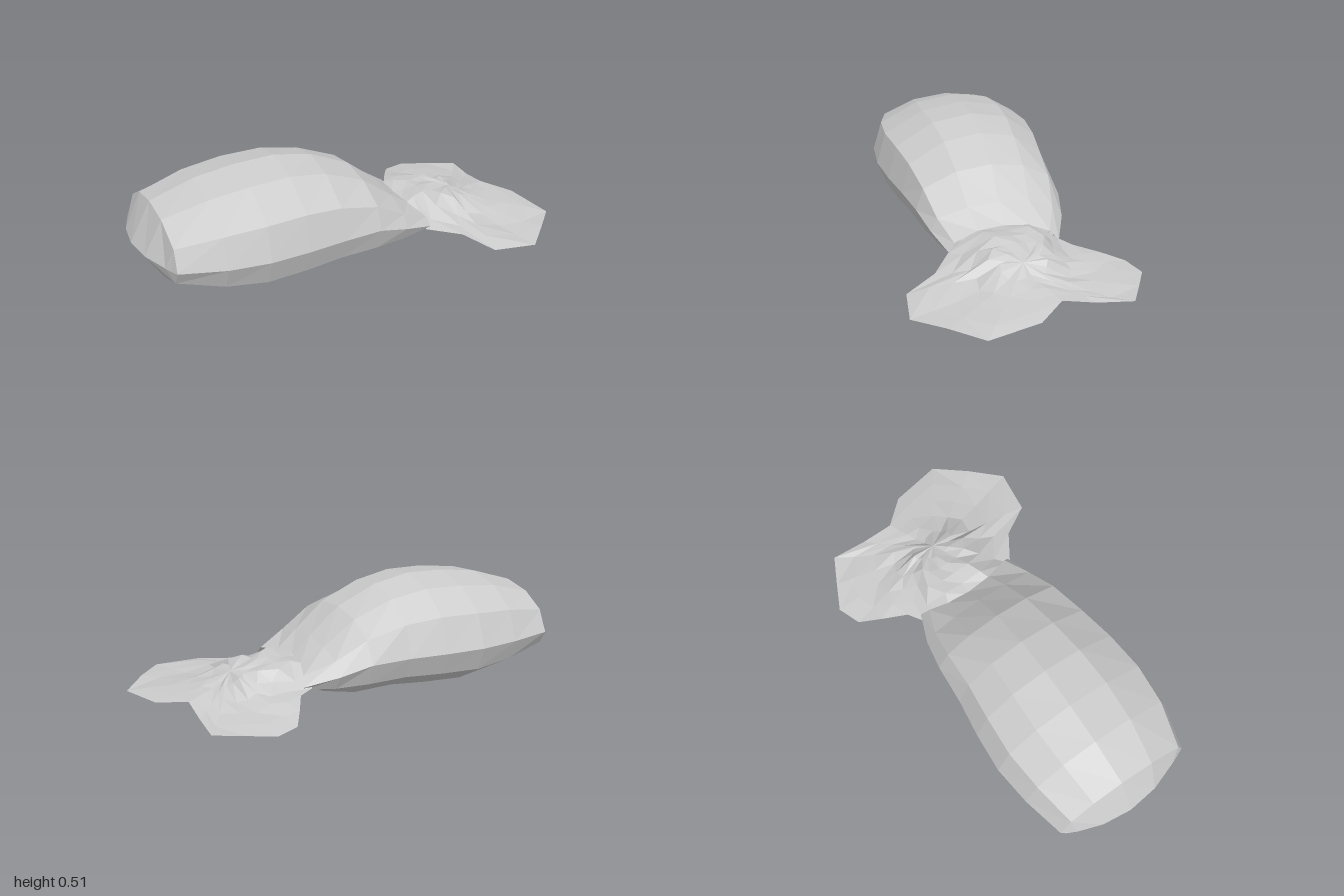
import * as THREE from 'three';

const material = new THREE.MeshStandardMaterial({
  color: 0xcccccc, flatShading: true, side: THREE.DoubleSide, roughness: 0.9,
});

function buildMesh(name, positions, indices) {
  const geometry = new THREE.BufferGeometry();
  geometry.setAttribute('position', new THREE.Float32BufferAttribute(positions, 3));
  geometry.setIndex(indices);
  geometry.computeVertexNormals();
  const mesh = new THREE.Mesh(geometry, material);
  mesh.name = name;
  return mesh;
}

// Piecewise-linear lookup in a list of [position, value]
function lookup(points, p) {
  if (p <= points[0][0]) return points[0][1];
  for (let i = 1; i < points.length; i++) {
    const [a, va] = points[i - 1], [b, vb] = points[i];
    if (p <= b) return va + (vb - va) * (p - a) / (b - a);
  }
  return points[points.length - 1][1];
}

// Slumped sack: twelve-sided sections lofted from the seamed end to the mouth
function createSack() {
  const profile = [[0, 1], [0.46, 0.9], [0.9, 0.54], [1, 0], [0.9, -0.53], [0.45, -0.97],
    [0, -1], [-0.47, -0.97], [-0.88, -0.53], [-1, 0], [-0.84, 0.54], [-0.47, 0.88]];
  // x, top y, bottom y, widest y, front z, back z
  const stations = [
    [-1, 0.215, 0.215, 0.215, 0.32, 0.30],
    [-0.905, 0.40, 0.10, 0.215, 0.36, 0.32],
    [-0.7, 0.47, 0.03, 0.215, 0.42, 0.365],
    [-0.51, 0.50, 0.0, 0.215, 0.435, 0.385],
    [-0.32, 0.51, 0.01, 0.215, 0.415, 0.37],
    [-0.14, 0.48, 0.025, 0.215, 0.385, 0.345],
    [0.05, 0.40, 0.02, 0.21, 0.355, 0.33],
    [0.2, 0.28, 0.05, 0.17, 0.32, 0.30],
    [0.29, 0.205, 0.09, 0.13, 0.27, 0.24],
  ];
  const positions = [], indices = [], n = profile.length;
  stations.forEach(([x, top, bottom, mid, front, back], i) => {
    for (const [u, v] of profile) {
      // The closed seam bows outwards, the mouth curves back in its middle
      const bow = i === 0 ? 0.08 * u * u : i === stations.length - 1 ? 0.06 * u * u : 0;
      positions.push(x + bow, mid + v * (v > 0 ? top - mid : mid - bottom), u * (u > 0 ? front : back));
    }
  });
  for (let i = 0; i < stations.length - 1; i++) {
    for (let j = 0; j < n; j++) {
      const k = (j + 1) % n, a = i * n + j, b = i * n + k;
      if (i > 0) indices.push(a, b, a + n);
      indices.push(b, b + n, a + n);
      if (i === 0) indices.push(a, b, a + n);
    }
  }
  return buildMesh('sack', positions, indices);
}

// Spilled contents: a thin sheet of nested rings, highest where it leaves the mouth
function createSpill() {
  const outline = [[0.28, 0], [0.28, -0.12], [0.31, -0.24], [0.39, -0.29], [0.45, -0.4],
    [0.51, -0.5], [0.62, -0.54], [0.74, -0.48], [0.865, -0.415], [0.85, -0.25], [0.84, -0.1],
    [0.95, 0.02], [1, 0.26], [0.88, 0.4], [0.76, 0.53], [0.56, 0.505], [0.47, 0.36],
    [0.33, 0.27], [0.28, 0.13]];
  const along = [[0.28, 0.85], [0.38, 1], [0.5, 0.9], [0.6, 0.74], [0.65, 0.52],
    [0.72, 0.36], [0.9, 0.24], [1, 0]];
  const across = [[0, 1], [0.13, 1], [0.21, 0.45], [0.4, 0.22], [0.53, 0]];
  const centre = [0.6, 0], rings = [0.2, 0.4, 0.6, 0.8, 1];
  const height = (x, z) => 0.065 + 0.15 * lookup(along, x) * lookup(across, Math.abs(z));
  const positions = [centre[0], height(...centre), centre[1]], indices = [];
  const n = outline.length;
  rings.forEach((t, r) => outline.forEach(([ox, oz], j) => {
    const x = centre[0] + t * (ox - centre[0]), z = centre[1] + t * (oz - centre[1]);
    // Slight lumps away from the edge
    const lump = t < 1 ? 0.006 * Math.sin(j * 2.3 + r * 1.7) : 0;
    positions.push(x, height(x, z) + lump, z);
  }));
  for (let j = 0; j < n; j++) {
    const k = (j + 1) % n;
    indices.push(0, 1 + k, 1 + j);
    for (let r = 0; r < rings.length - 1; r++) {
      const a = 1 + r * n + j, b = 1 + r * n + k;
      indices.push(a, b, a + n, b, b + n, a + n);
    }
  }
  // Faces wound upwards
  for (let i = 0; i < indices.length; i += 3) {
    const [a, b, c] = [0, 1, 2].map((d) => new THREE.Vector3().fromArray(positions, indices[i + d] * 3));
    if (b.sub(a).cross(c.sub(a)).y < 0) [indices[i + 1], indices[i + 2]] = [indices[i + 2], indices[i + 1]];
  }
  return buildMesh('spilledContents', positions, indices);
}

export function createModel() {
  const group = new THREE.Group();
  group.name = 'spilledSack';
  group.add(createSack(), createSpill());
  return group;
}
